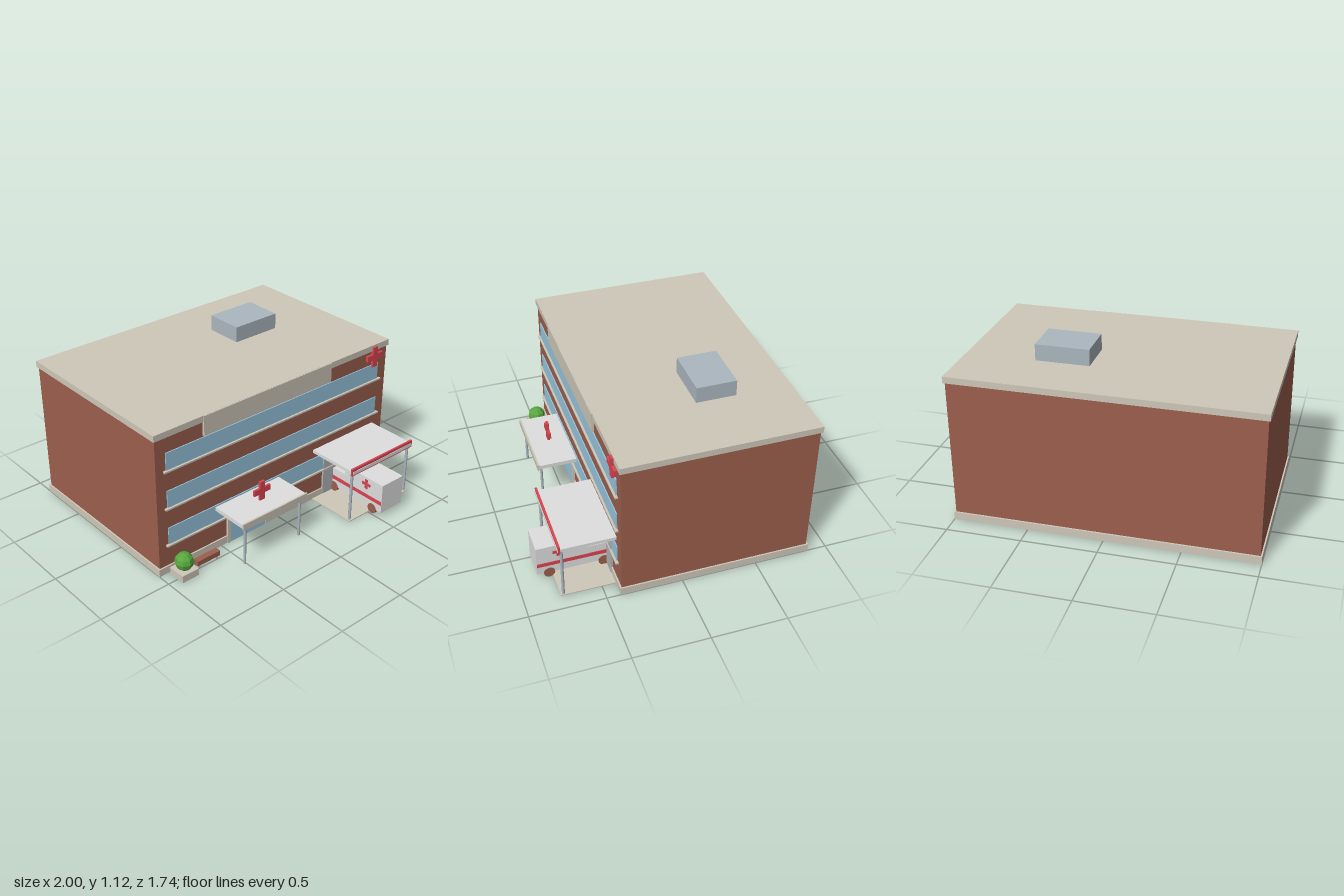
import * as THREE from 'three';

const mat = (name, color) => {
  const m = new THREE.MeshStandardMaterial({ color });
  m.name = name;
  return m;
};

export function createModel() {
  const brick = mat('brick', 0x9c5f4d);
  const stone = mat('stone', 0xcfc8b9);
  const glass = mat('glass', 0x98c6df);
  const white = mat('white', 0xdfdfe0);
  const red = mat('red', 0xdb4650);
  const steel = mat('steel', 0xabb7bf);
  const doorGrey = mat('doorGrey', 0xb2b4b6);
  const leaf = mat('leaf', 0x58a83e);

  const root = new THREE.Group();
  root.name = 'hospital';
  const group = (name) => {
    const g = new THREE.Group();
    g.name = name;
    root.add(g);
    return g;
  };

  // Box given by its lower and upper limits on each axis
  const box = (parent, name, material, x0, x1, y0, y1, z0, z1) => {
    const m = new THREE.Mesh(new THREE.BoxGeometry(x1 - x0, y1 - y0, z1 - z0), material);
    m.position.set((x0 + x1) / 2, (y0 + y1) / 2, (z0 + z1) / 2);
    m.name = name;
    parent.add(m);
    return m;
  };

  // Upright cross as one extruded outline, centred on its position
  const cross = (parent, name, size, arm, depth, x, y, z) => {
    const s = size / 2, a = arm / 2;
    const outline = [[-a, -s], [a, -s], [a, -a], [s, -a], [s, a], [a, a],
      [a, s], [-a, s], [-a, a], [-s, a], [-s, -a], [-a, -a]];
    const shape = new THREE.Shape(outline.map(([u, v]) => new THREE.Vector2(u, v)));
    const geo = new THREE.ExtrudeGeometry(shape, { depth, bevelEnabled: false });
    geo.translate(0, 0, -depth / 2);
    const m = new THREE.Mesh(geo, red);
    m.position.set(x, y, z);
    m.name = name;
    parent.add(m);
    return m;
  };

  const post = (parent, x, z, radius, height) => {
    const m = new THREE.Mesh(new THREE.CylinderGeometry(radius, radius, height, 10), steel);
    m.position.set(x, height / 2, z);
    m.name = 'canopyPost';
    parent.add(m);
  };

  // Main block
  const building = group('building');
  box(building, 'walls', brick, -0.99, 0.99, 0.02, 0.99, -0.86, 0.4);
  box(building, 'plinth', stone, -1, 1, 0, 0.053, -0.872, 0.41);
  box(building, 'roofSlab', stone, -1, 1, 0.973, 1.016, -0.872, 0.41);
  box(building, 'signPanel', stone, -0.63, 0.445, 0.878, 1.015, 0.39, 0.416);
  box(building, 'roofUnit', steel, 0.18, 0.535, 1.01, 1.125, -0.497, -0.23);
  cross(building, 'wallCross', 0.146, 0.042, 0.018, 0.86, 0.93, 0.414);

  // Window bands with sills
  for (const y of [0.208, 0.477, 0.744]) {
    box(building, 'windowBand', glass, -0.915, 0.91, y, y + 0.122, 0.398, 0.407);
    box(building, 'windowSill', stone, -0.935, 0.932, y - 0.008, y + 0.003, 0.39, 0.42);
  }

  // Entrance
  const entrance = group('entrance');
  box(entrance, 'entranceDoor', glass, -0.425, -0.12, 0, 0.228, 0.39, 0.414);
  box(entrance, 'doorJamb', stone, -0.45, -0.425, 0, 0.228, 0.39, 0.418);
  box(entrance, 'doorJamb', stone, -0.12, -0.095, 0, 0.228, 0.39, 0.418);
  box(entrance, 'doorLintel', stone, -0.45, -0.095, 0.228, 0.255, 0.39, 0.418);
  box(entrance, 'canopySlab', white, -0.543, -0.002, 0.292, 0.32, 0.4, 0.668);
  box(entrance, 'canopyFascia', stone, -0.545, 0, 0.283, 0.328, 0.667, 0.679);
  for (const x of [-0.507, -0.038]) post(entrance, x, 0.648, 0.009, 0.295);
  cross(entrance, 'canopyCross', 0.137, 0.04, 0.016, -0.27, 0.397, 0.538);

  // Ambulance bay
  const bay = group('ambulanceBay');
  box(bay, 'bayPad', stone, 0.32, 0.895, 0, 0.007, 0.4, 0.768);
  box(bay, 'bayDoor', doorGrey, 0.415, 0.802, 0, 0.287, 0.39, 0.414);
  box(bay, 'canopySlab', white, 0.32, 0.895, 0.373, 0.396, 0.4, 0.774);
  box(bay, 'canopyFascia', red, 0.315, 0.9, 0.364, 0.415, 0.757, 0.771);
  for (const x of [0.338, 0.88]) post(bay, x, 0.748, 0.01, 0.374);

  // Ambulance backed out from the bay door
  const ambulance = group('ambulance');
  box(ambulance, 'patientBox', white, 0.51, 0.708, 0.04, 0.255, 0.53, 0.872);
  box(ambulance, 'cab', white, 0.512, 0.706, 0.04, 0.182, 0.4, 0.532);
  box(ambulance, 'beacon', red, 0.55, 0.668, 0.181, 0.198, 0.465, 0.49);
  for (const side of [-1, 1]) {
    const x = 0.609 + side * 0.099;
    box(ambulance, 'sideStripe', red, x - 0.003, x + 0.003, 0.099, 0.126, 0.4, 0.87);
    const mark = cross(ambulance, 'sideCross', 0.072, 0.022, 0.006, x, 0.202, 0.728);
    mark.rotation.y = Math.PI / 2;
    for (const z of [0.432, 0.792]) {
      const wheel = new THREE.Mesh(new THREE.CylinderGeometry(0.037, 0.037, 0.03, 12), brick);
      wheel.rotation.z = Math.PI / 2;
      wheel.position.set(0.609 + side * 0.088, 0.04, z);
      wheel.name = 'wheel';
      ambulance.add(wheel);
    }
  }

  // Planter and bench by the wall
  const garden = group('frontGarden');
  box(garden, 'planter', stone, -0.928, -0.802, 0, 0.05, 0.424, 0.55);
  const bushGeo = new THREE.SphereGeometry(0.063, 8, 6).toNonIndexed();
  bushGeo.computeVertexNormals();
  const bush = new THREE.Mesh(bushGeo, leaf);
  bush.position.set(-0.864, 0.103, 0.487);
  bush.name = 'bush';
  garden.add(bush);
  box(garden, 'benchSeat', brick, -0.775, -0.593, 0.026, 0.062, 0.466, 0.508);
  for (const x of [-0.755, -0.613]) {
    box(garden, 'benchLeg', stone, x - 0.008, x + 0.008, 0, 0.027, 0.474, 0.5);
  }

  return root;
}
